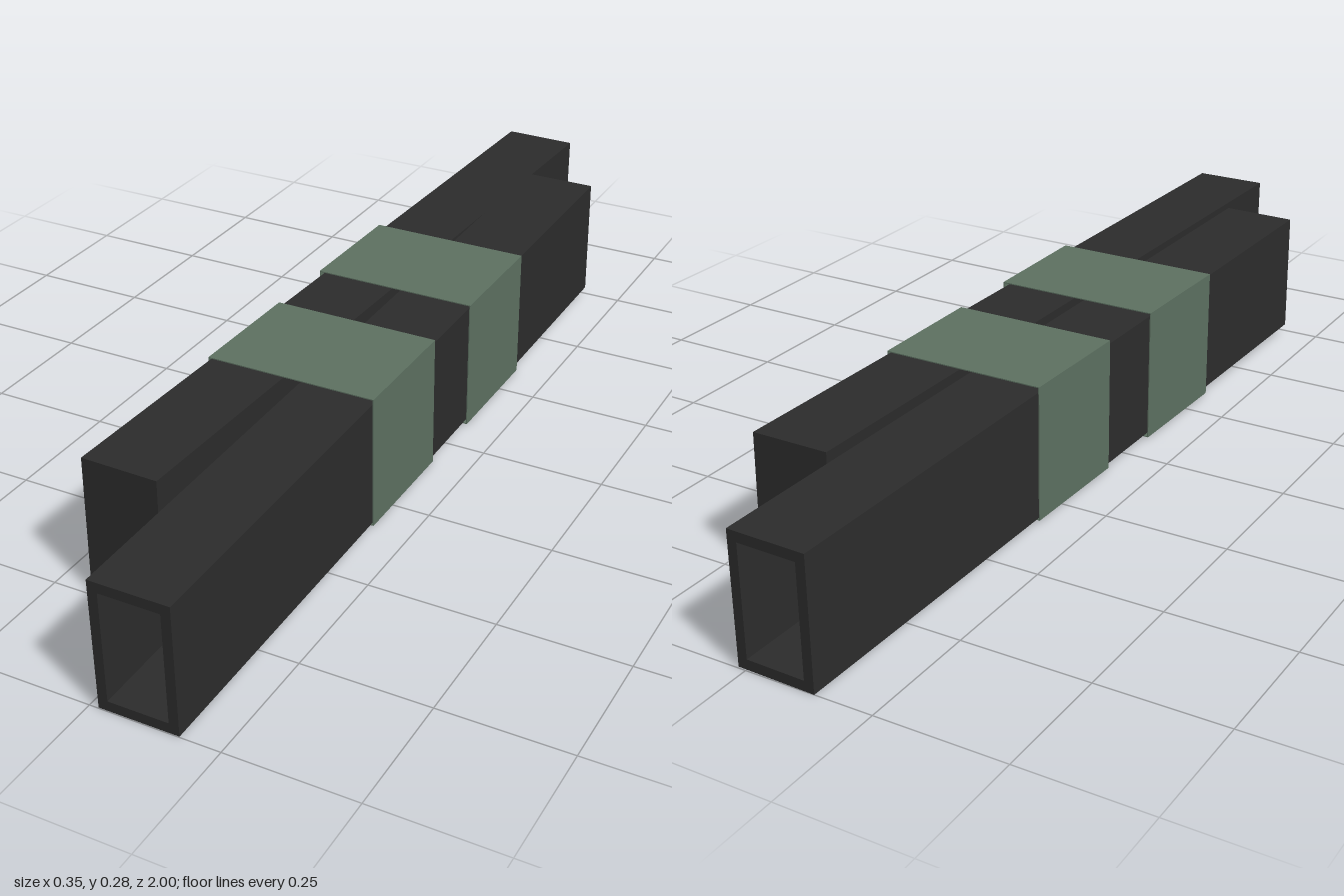
import * as THREE from 'three';

const WIDTH = 0.155, HEIGHT = 0.256, LENGTH = 1.74, CAVITY = 1.04;

function rect(Type, x0, y0, x1, y1) {
  const r = new Type();
  r.moveTo(x0, y0);
  r.lineTo(x1, y0);
  r.lineTo(x1, y1);
  r.lineTo(x0, y1);
  r.closePath();
  return r;
}

// Long rectangular case, hollow towards its local +z end
function makeCase(name, material) {
  const group = new THREE.Group();
  group.name = name;

  const w = WIDTH / 2, h = HEIGHT / 2, wall = 0.019;
  const section = rect(THREE.Shape, -w, -h, w, h);
  section.holes.push(rect(THREE.Path, -w + wall, -h + wall + 0.001, w - wall, h - wall - 0.001));
  const sleeve = new THREE.Mesh(
    new THREE.ExtrudeGeometry(section, { depth: CAVITY, bevelEnabled: false }), material);
  sleeve.name = 'hollowSleeve';
  sleeve.position.z = LENGTH / 2 - CAVITY;

  const solid = LENGTH - CAVITY;
  const base = new THREE.Mesh(new THREE.BoxGeometry(WIDTH, HEIGHT, solid), material);
  base.name = 'solidEnd';
  base.position.z = -LENGTH / 2 + solid / 2;

  group.add(sleeve, base);
  return group;
}

// Thin open band of tape around both cases; its -x side follows the angled case
function makeBand(name, z0, z1, material) {
  const t = 0.002, left = -0.164, right = 0.176, bottom = 0.005, top = 0.277;
  const section = rect(THREE.Shape, left, bottom, right, top);
  section.holes.push(rect(THREE.Path, left + t, bottom + t, right - t, top - t));
  const geometry = new THREE.ExtrudeGeometry(section, { depth: z1 - z0, bevelEnabled: false });
  geometry.translate(0, 0, z0);
  const p = geometry.attributes.position;
  for (let i = 0; i < p.count; i++) {
    if (p.getX(i) < 0) p.setX(i, p.getX(i) - 0.0227 * p.getZ(i));
  }
  geometry.computeVertexNormals();
  const band = new THREE.Mesh(geometry, material);
  band.name = name;
  return band;
}

export function createModel() {
  const model = new THREE.Group();
  model.name = 'tapedCases';
  const dark = new THREE.MeshStandardMaterial({ color: 0x2c2c2c });
  dark.name = 'darkMetal';
  const green = new THREE.MeshStandardMaterial({ color: 0x5d7161, side: THREE.DoubleSide });
  green.name = 'greenTape';

  // Case opening to the front
  const leftCase = makeCase('leftCase', dark);
  leftCase.position.set(0.0945, 0.139, 0.13);
  leftCase.rotation.x = 0.0115;

  // Case opening to the back, slightly turned
  const rightCase = makeCase('rightCase', dark);
  rightCase.position.set(-0.08, 0.139, -0.13);
  rightCase.rotation.set(0.0115, Math.PI - 0.0227, 0, 'YXZ');

  model.add(leftCase, rightCase);
  model.add(makeBand('frontTapeBand', 0.08, 0.335, green));
  model.add(makeBand('backTapeBand', -0.335, -0.08, green));
  return model;
}
